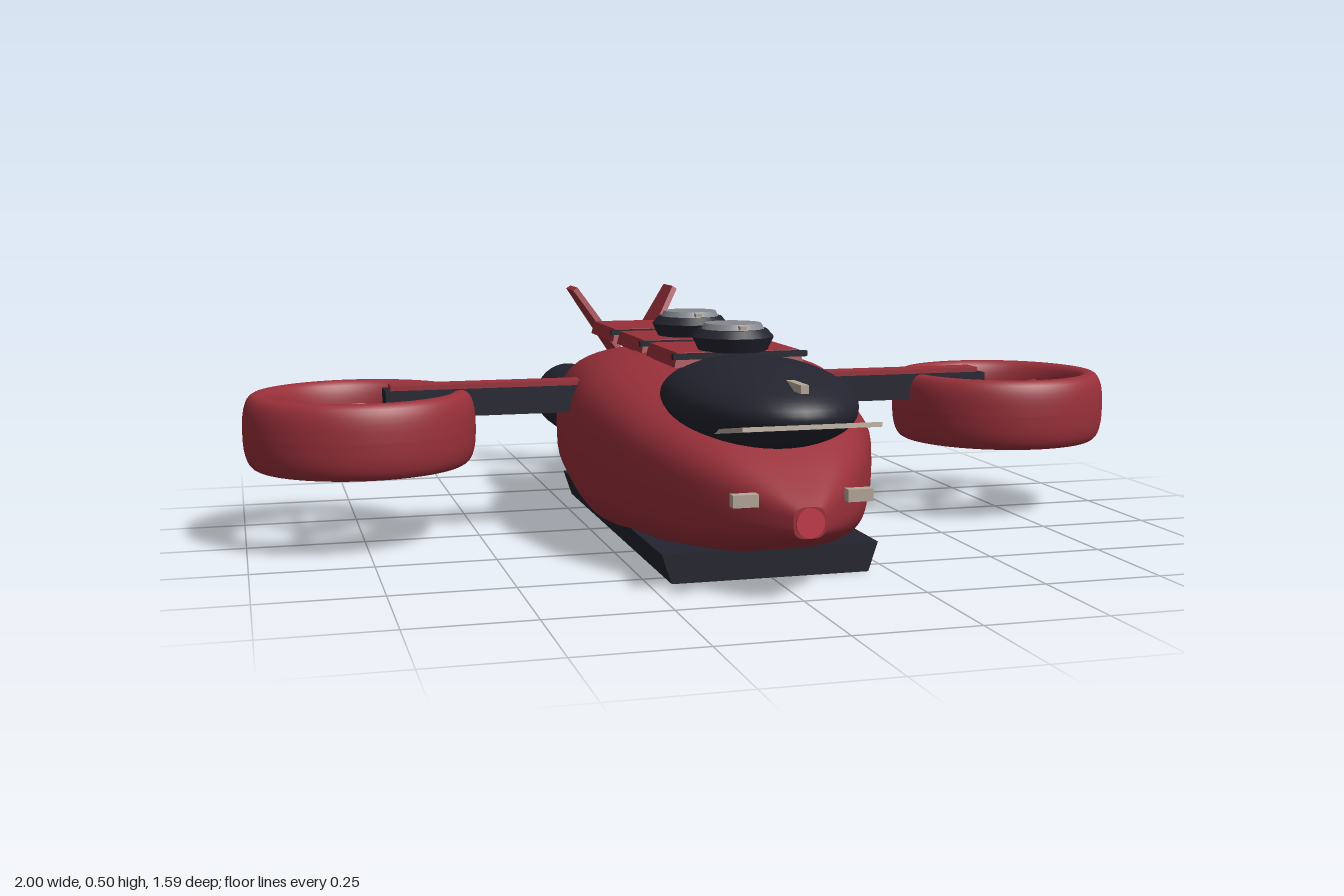
import * as THREE from 'three';

const mat = (name, color, side = THREE.FrontSide) => {
  const m = new THREE.MeshStandardMaterial({ color, side });
  m.name = name;
  return m;
};

// Lofted hull: stations [z, halfWidth, bottom, top] from back to front, superellipse sections
function loft(stations, n, seg = 48) {
  const pos = [], idx = [];
  const ring = ([z, w, b, t]) => {
    for (let j = 0; j < seg; j++) {
      const a = (j / seg) * Math.PI * 2, c = Math.cos(a), s = Math.sin(a);
      const f = v => Math.sign(v) * Math.pow(Math.abs(v), 2 / n);
      pos.push(w * f(c), (b + t) / 2 + ((t - b) / 2) * f(s), z);
    }
  };
  stations.forEach(ring);
  for (let i = 0; i < stations.length - 1; i++) for (let j = 0; j < seg; j++) {
    const k = (j + 1) % seg, a = i * seg + j, b = i * seg + k;
    idx.push(a, b, b + seg, a, b + seg, a + seg);
  }
  // flat end caps with their own vertices
  [stations[0], stations[stations.length - 1]].forEach((st, e) => {
    const o = pos.length / 3;
    ring(st);
    pos.push(0, (st[2] + st[3]) / 2, st[0]);
    for (let j = 0; j < seg; j++) {
      const k = (j + 1) % seg;
      if (e) idx.push(o + seg, o + j, o + k);
      else idx.push(o + seg, o + k, o + j);
    }
  });
  const g = new THREE.BufferGeometry();
  g.setAttribute('position', new THREE.Float32BufferAttribute(pos, 3));
  g.setIndex(idx);
  g.computeVertexNormals();
  return g;
}

export function createModel() {
  const red = mat('hullRed', 0x9a303a);
  const bright = mat('exhaustRed', 0xc43a48);
  const dark = mat('darkNavy', 0x23242f);
  const grey = mat('metalGrey', 0x85888e);
  const blade = mat('bladeGrey', 0x55585c);
  const beige = mat('lampBeige', 0xb3a898);
  const root = new THREE.Group();
  root.name = 'ductedFanAircraft';

  const add = (name, geo, m, x = 0, y = 0, z = 0, parent = root) => {
    const mesh = new THREE.Mesh(geo, m);
    mesh.name = name;
    mesh.position.set(x, y, z);
    parent.add(mesh);
    return mesh;
  };
  const box = (w, h, d) => new THREE.BoxGeometry(w, h, d);
  const cyl = (rt, rb, h, s = 32) => new THREE.CylinderGeometry(rt, rb, h, s);

  // Hull
  add('hull', loft([
    [-0.745, 0.04, 0.215, 0.3], [-0.58, 0.08, 0.165, 0.325], [-0.45, 0.15, 0.12, 0.345],
    [-0.2, 0.285, 0.045, 0.4], [0, 0.3, 0.02, 0.412], [0.15, 0.31, 0.02, 0.41],
    [0.42, 0.262, 0.045, 0.355], [0.57, 0.195, 0.065, 0.31], [0.67, 0.13, 0.095, 0.26],
    [0.75, 0.06, 0.12, 0.21], [0.78, 0.032, 0.13, 0.19],
  ], 3.2), red);
  add('noseCap', cyl(0.028, 0.028, 0.008), bright, 0, 0.16, 0.781).rotation.x = Math.PI / 2;
  add('tailCap', cyl(0.037, 0.037, 0.006), bright, 0, 0.258, -0.746).rotation.x = Math.PI / 2;

  // Belly skid, narrower at its foot
  const skid = box(0.45, 0.06, 0.985), sp = skid.attributes.position;
  for (let i = 0; i < sp.count; i++) if (sp.getY(i) < 0) sp.setX(i, sp.getX(i) * 0.91);
  skid.computeVertexNormals();
  add('bellySkid', skid, dark, 0, 0.035, 0.063);

  // Canopy, visor, probe and lamps
  add('canopy', new THREE.SphereGeometry(1, 48, 32), dark, 0, 0.347, 0.45).scale.set(0.186, 0.088, 0.31);
  add('visor', box(0.27, 0.009, 0.2), beige, 0, 0.325, 0.694).rotation.x = -0.16;
  add('canopyProbe', box(0.016, 0.016, 0.1), beige, 0, 0.404, 0.695);
  for (const s of [-1, 1]) add('headlamp', box(0.05, 0.024, 0.022), beige, s * 0.113, 0.2, 0.735);

  // Roof panels with chamfered tops, and the dark bars between them
  for (const [z0, z1] of [[0.09, 0.335], [-0.195, 0.05], [-0.48, -0.235]]) {
    const g = box(0.28, 0.03, z1 - z0), p = g.attributes.position;
    for (let i = 0; i < p.count; i++) if (p.getY(i) > 0) {
      p.setX(i, p.getX(i) * 0.95);
      p.setZ(i, p.getZ(i) * 0.95);
    }
    g.computeVertexNormals();
    add('roofPanel', g, red, 0, 0.419, (z0 + z1) / 2);
    add('roofBar', box(0.29, 0.012, 0.014), dark, 0, 0.427, z1 + 0.002);
  }

  // Roof turrets
  for (const z of [0.285, -0.055]) {
    const t = new THREE.Group();
    t.name = 'turret';
    t.position.z = z;
    root.add(t);
    add('turretBase', cyl(0.086, 0.072, 0.03), dark, 0, 0.447, 0, t);
    add('turretRing', cyl(0.072, 0.086, 0.016), dark, 0, 0.47, 0, t);
    add('turretTop', cyl(0.06, 0.066, 0.012, 16), grey, 0, 0.484, 0, t);
    add('turretSlot', box(0.014, 0.008, 0.04), beige, 0, 0.484, 0.058, t);
  }

  // Duct section: a rounded oval turned about the fan axis
  const duct = [];
  for (let i = 0; i <= 32; i++) {
    const a = (i / 32) * Math.PI * 2, f = v => Math.sign(v) * Math.pow(Math.abs(v), 0.78);
    duct.push(new THREE.Vector2(0.216 + 0.032 * f(Math.cos(a)), 0.08 * f(Math.sin(a))));
  }
  const ductGeo = new THREE.LatheGeometry(duct, 64);
  const bladeGeo = box(0.18, 0.006, 0.034).translate(0.1, 0, 0).rotateX(0.45);
  const strutGeo = box(0.19, 0.014, 0.012).translate(0.1, 0, 0);

  for (const s of [-1, 1]) {
    // Arm
    add('arm', box(0.45, 0.058, 0.086), dark, s * 0.475, 0.306, -0.014);
    add('armStrip', box(0.44, 0.012, 0.056), red, s * 0.468, 0.34, -0.014);

    // Ducted fan
    const fan = new THREE.Group();
    fan.name = 'ductedFan';
    fan.position.set(s * 0.752, 0.255, -0.013);
    root.add(fan);
    add('duct', ductGeo, red, 0, 0, 0, fan);
    add('fanMotor', cyl(0.058, 0.05, 0.08), dark, 0, -0.025, 0, fan);
    add('fanHub', cyl(0.02, 0.042, 0.035), grey, 0, 0.033, 0, fan);
    for (let k = 0; k < 3; k++)
      add('fanBlade', bladeGeo, blade, 0, 0.03, 0, fan).rotation.y = -Math.PI / 2 + k * Math.PI * 2 / 3;
    for (let k = 0; k < 5; k++)
      add('fanStrut', strutGeo, dark, 0, -0.02, 0, fan).rotation.y = 1.83 + k * Math.PI * 0.4;

    // Engine pod with a slightly rounded intake and a glowing exhaust
    const pod = new THREE.LatheGeometry([
      [0, -0.13], [0.076, -0.13], [0.082, -0.122], [0.082, 0], [0.08, 0.08], [0.072, 0.125], [0.062, 0.13], [0, 0.13],
    ].map(p => new THREE.Vector2(...p)), 36);
    add('enginePod', pod, dark, s * 0.185, 0.237, -0.448).rotation.x = Math.PI / 2;
    add('exhaust', cyl(0.06, 0.06, 0.012), bright, s * 0.185, 0.237, -0.582).rotation.x = Math.PI / 2;

    // Slanted tail fin
    const shape = new THREE.Shape([
      [-0.585, 0], [-0.7, 0.232], [-0.795, 0.232], [-0.775, 0],
    ].map(p => new THREE.Vector2(...p)));
    const fin = new THREE.ExtrudeGeometry(shape, { depth: 0.014, bevelEnabled: false }).translate(0, 0, -0.007);
    const u = new THREE.Vector3(0, 0, 1), v = new THREE.Vector3(s * 0.125, 0.195, 0).normalize();
    fin.applyMatrix4(new THREE.Matrix4().makeBasis(u, v, u.clone().cross(v)));
    add('tailFin', fin, red, s * 0.01, 0.305, 0);
  }
  return root;
}
